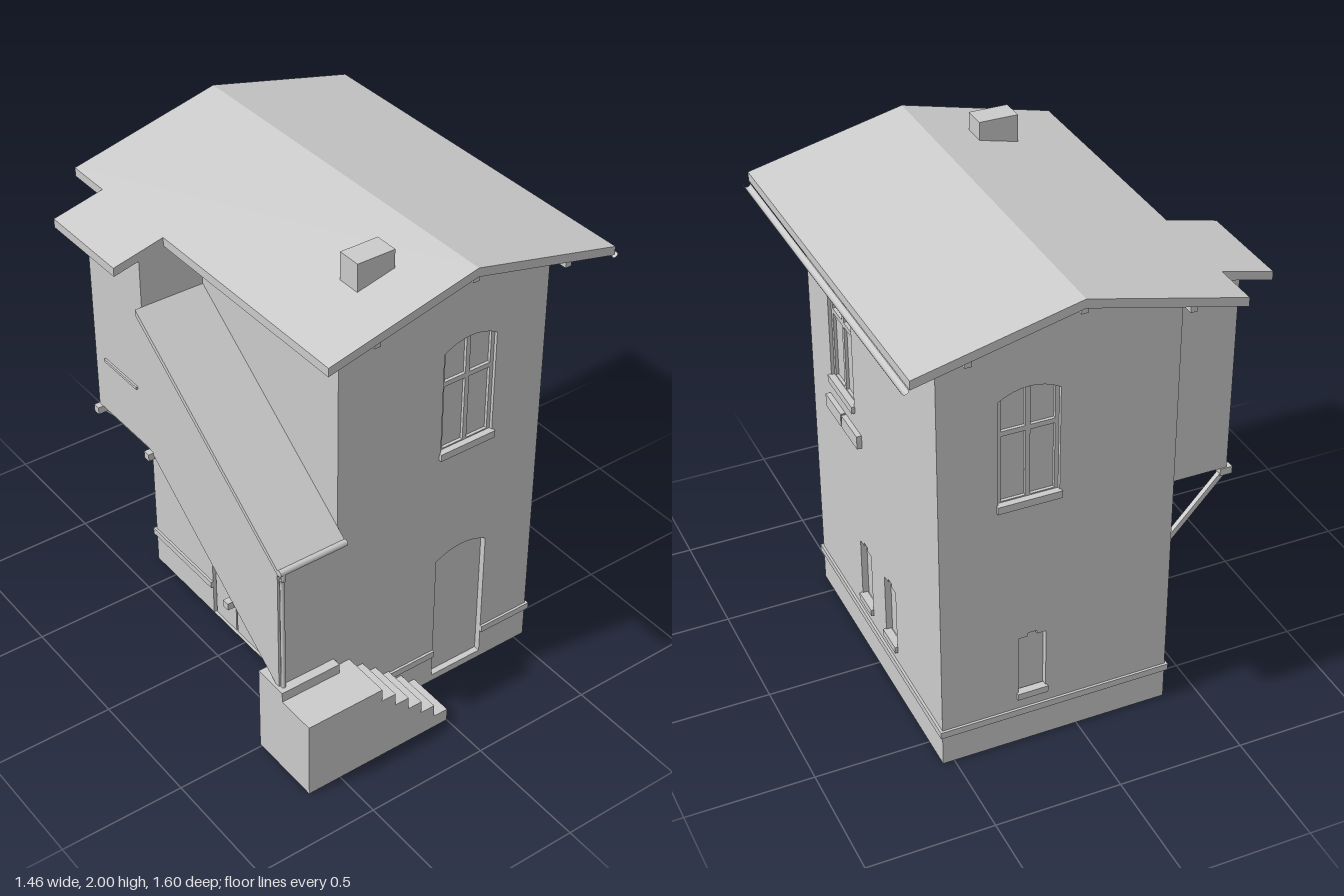
import * as THREE from 'three';

const T = 0.03; // wall thickness
const RIDGE = 0.085;
const roofTop = (x) => 1.97 - 0.238 * Math.abs(x - RIDGE);
const roofUnder = (x) => roofTop(x) - 0.035;
const mat = new THREE.MeshStandardMaterial({ color: 0xcccccc, side: THREE.DoubleSide });

function add(parent, name, geo) {
  const mesh = new THREE.Mesh(geo, mat);
  mesh.name = name;
  parent.add(mesh);
  return mesh;
}

// Box given by its minimum and maximum corners
function box(parent, name, x0, x1, y0, y1, z0, z1) {
  const m = add(parent, name, new THREE.BoxGeometry(x1 - x0, y1 - y0, z1 - z0));
  m.position.set((x0 + x1) / 2, (y0 + y1) / 2, (z0 + z1) / 2);
  return m;
}

const poly = (pts) => new THREE.Shape(pts.map(([x, y]) => new THREE.Vector2(x, y)));
const extrude = (shape, depth) =>
  new THREE.ExtrudeGeometry(shape, { depth, bevelEnabled: false, curveSegments: 8 });

// Profile drawn in (z, y), extruded along x from x0 to x1
function extrudeX(pts, x0, x1) {
  return extrude(poly(pts.map(([z, y]) => [-z, y])), x1 - x0).rotateY(Math.PI / 2).translate(x0, 0, 0);
}

// Opening with a shallow curved head
function archPoints(u0, u1, y0, ySpring, yTop) {
  const pts = [[u0, y0], [u1, y0]];
  for (let i = 0; i <= 8; i++) {
    const t = i / 8;
    pts.push([u1 + (u0 - u1) * t, ySpring + (yTop - ySpring) * (1 - (2 * t - 1) ** 2)]);
  }
  return pts;
}

// Narrow opening with a stepped head
function steppedPoints(u0, u1) {
  const d = (u1 - u0) / 3;
  return [[u0, 0.23], [u1, 0.23], [u1, 0.49], [u1 - d, 0.49], [u1 - d, 0.505],
    [u0 + d, 0.505], [u0 + d, 0.49], [u0, 0.49]];
}

// Wall in its own plane: outer surface at local z = 0, openings cut through
function wall(parent, name, outline, openings, bands) {
  const g = new THREE.Group();
  g.name = name;
  parent.add(g);
  const shape = poly(outline);
  openings.forEach((o) => shape.holes.push(poly(o.pts)));
  add(g, 'wallPanel', extrude(shape, T).translate(0, 0, -T));
  for (const { kind, pts } of openings) {
    const [[u0, y0], [u1]] = pts;
    const mid = (u0 + u1) / 2;
    add(g, kind + 'Pane', extrude(poly(pts), 0.005).translate(0, 0, -T));
    if (kind === 'window') {
      const z0 = -0.025, z1 = -0.013;
      box(g, 'windowMullion', mid - 0.009, mid + 0.009, y0, 1.56, z0, z1);
      box(g, 'windowTransom', u0, u1, 1.385, 1.405, z0, z1);
      box(g, 'windowFrameSide', u0, u0 + 0.015, y0, 1.535, z0, z1);
      box(g, 'windowFrameSide', u1 - 0.015, u1, y0, 1.535, z0, z1);
      box(g, 'windowFrameBottom', u0, u1, y0, y0 + 0.015, z0, z1);
      box(g, 'windowSill', u0 - 0.006, u1 + 0.006, 1.08, 1.11, -0.02, 0.013);
    } else if (kind === 'slit') {
      box(g, 'slitSill', u0 - 0.006, u1 + 0.006, 0.207, 0.235, -0.02, 0.012);
    }
  }
  for (const [a, b] of bands) box(g, 'plinthBand', a, b, 0.132, 0.16, -0.01, 0.01);
  return g;
}

const tallWindow = (a, b) => ({ kind: 'window', pts: archPoints(a, b, 1.1, 1.535, 1.57) });
const slit = (a, b) => ({ kind: 'slit', pts: steppedPoints(a, b) });
const gable = (s) => [[-0.37, 0], [0.545, 0], [0.545, roofUnder(0.545)],
  [RIDGE, roofUnder(RIDGE)], [-0.37, roofUnder(-0.37)]].map(([x, y]) => [s * x, y]);

function buildWalls(house) {
  const front = wall(house, 'frontWall', gable(1),
    [tallWindow(0.085, 0.32), { kind: 'door', pts: archPoints(0.085, 0.32, 0.03, 0.6, 0.632) }],
    [[-0.37, 0.085], [0.32, 0.555]]);
  front.position.z = 0.6;

  const back = wall(house, 'backWall', gable(-1),
    [tallWindow(-0.32, -0.085), slit(-0.24, -0.13)], [[-0.555, 0.38]]);
  back.rotation.y = Math.PI;
  back.position.z = -0.63;

  const side = (a, b) => [[a, 0], [b, 0], [b, 1.828], [a, 1.828]];
  const left = wall(house, 'leftWall', side(-0.6 + T, 0.63 - T),
    [tallWindow(-0.39, -0.155), slit(-0.155, -0.045), slit(0.09, 0.2)], [[-0.61, 0.64]]);
  left.rotation.y = Math.PI / 2;
  left.position.x = 0.545;
  // Planter boxes below the upper window
  box(left, 'planterBox', -0.412, -0.255, 0.962, 1.017, -0.01, 0.02);
  box(left, 'planterBox', -0.247, -0.09, 0.962, 1.017, -0.01, 0.02);

  const right = wall(house, 'rightWall', side(-0.63 + T, 0.6 - T),
    [{ kind: 'gate', pts: [[-0.22, 0], [0.23, 0], [0.23, 0.54], [-0.22, 0.54]] }],
    [[-0.64, -0.22], [0.23, 0.49]]);
  right.rotation.y = -Math.PI / 2;
  right.position.x = -0.37;
  box(right, 'gateLeaf', -0.215, -0.078, 0, 0.535, -0.025, -0.012);
  box(right, 'gateLeaf', -0.07, 0.225, 0, 0.535, -0.025, -0.012);
}

function buildRoof(house) {
  const roof = new THREE.Group();
  roof.name = 'roof';
  house.add(roof);
  const slab = (xs, z0, z1) => {
    const top = xs.map((x) => [x, roofTop(x)]);
    const under = [...xs].reverse().map((x) => [x, roofUnder(x)]);
    return extrude(poly([...under, ...[...top]]), z1 - z0).translate(0, 0, z0);
  };
  add(roof, 'mainRoof', slab([-0.525, RIDGE, 0.7], -0.8, 0.755));
  add(roof, 'bayRoof', slab([-0.73, -0.525], -0.61, -0.21));
  for (const x of [-0.32, RIDGE, 0.495]) {
    const y = roofUnder(x);
    box(roof, 'purlin', x - 0.013, x + 0.013, y - 0.025, y + 0.01, -0.79, 0.745);
  }
  // Half-round gutter along the left eave
  const gutter = add(roof, 'eaveGutter',
    new THREE.CylinderGeometry(0.014, 0.014, 1.535, 12, 1, true, -Math.PI / 2, Math.PI).rotateX(Math.PI / 2));
  gutter.position.set(0.712, 1.782, -0.022);
  box(roof, 'chimney', -0.25, -0.095, 1.84, 2, 0.445, 0.54);
}

function buildStairBay(house) {
  const bay = new THREE.Group();
  bay.name = 'stairBay';
  house.add(bay);
  // Overhanging bay with a sloping enclosed stair running down to the landing
  const geo = extrudeX([[-0.56, 0.95], [-0.21, 0.95], [0.6, 0.36], [0.6, 0.975],
    [-0.21, 1.56], [-0.21, 1.78], [-0.56, 1.78]], -0.628, -0.37);
  const p = geo.attributes.position;
  for (let i = 0; i < p.count; i++) if (p.getY(i) > 1.7) p.setY(i, roofUnder(p.getX(i)));
  geo.computeVertexNormals();
  add(bay, 'bayBody', geo);
  add(bay, 'leanToRoof', extrudeX([[-0.21, 1.55], [0.645, 0.94], [0.645, 0.962], [-0.21, 1.575]], -0.655, -0.37));
  box(bay, 'baySill', -0.636, -0.62, 1.185, 1.197, -0.49, -0.27);

  // Diagonal timber braces under the bay
  for (const [z, y] of [[-0.55, 0.95], [-0.2, 0.945], [0.3, 0.575]]) {
    const brace = box(bay, 'brace', -0.19, 0.19, -0.01, 0.01, -0.01, 0.01);
    brace.position.set(-0.495, y - 0.155, z);
    brace.rotation.z = -0.84;
    box(bay, 'braceFoot', -0.39, -0.37, y - 0.33, y - 0.25, z - 0.012, z + 0.012);
    box(bay, 'braceHead', -0.65, -0.6, y - 0.03, y, z - 0.015, z + 0.015);
  }

  // Gutter and downpipe at the foot of the lean-to roof
  const gutter = add(bay, 'leanToGutter',
    new THREE.CylinderGeometry(0.013, 0.013, 0.285, 12).rotateZ(Math.PI / 2));
  gutter.position.set(-0.5125, 0.957, 0.65);
  const path = new THREE.CatmullRomCurve3([[-0.642, 0.955, 0.655], [-0.638, 0.92, 0.65],
    [-0.618, 0.885, 0.612], [-0.615, 0.84, 0.61], [-0.615, 0.6, 0.61], [-0.615, 0.375, 0.61]]
    .map((v) => new THREE.Vector3(...v)));
  add(bay, 'downpipe', new THREE.TubeGeometry(path, 32, 0.009, 8));
}

function buildSteps(house) {
  const steps = new THREE.Group();
  steps.name = 'outdoorSteps';
  house.add(steps);
  box(steps, 'landing', -0.64, -0.37, 0, 0.333, 0.49, 0.8);
  box(steps, 'threshold', -0.64, -0.385, 0.333, 0.375, 0.49, 0.637);
  // Flight as one stepped profile
  const pts = [[-0.37, 0], [0, 0]];
  for (let i = 0; i < 6; i++) {
    const x = i === 0 ? 0 : -0.062 * i - 0.002;
    const y = 0.0555 * (i + 1);
    pts.push([x, y], [i === 5 ? -0.37 : -0.062 * (i + 1) - 0.002, y]);
  }
  add(steps, 'flight', extrude(poly(pts), 0.2).translate(0, 0, 0.6));
}

export function createModel() {
  const house = new THREE.Group();
  house.name = 'house';
  buildWalls(house);
  buildRoof(house);
  buildStairBay(house);
  buildSteps(house);
  return house;
}
